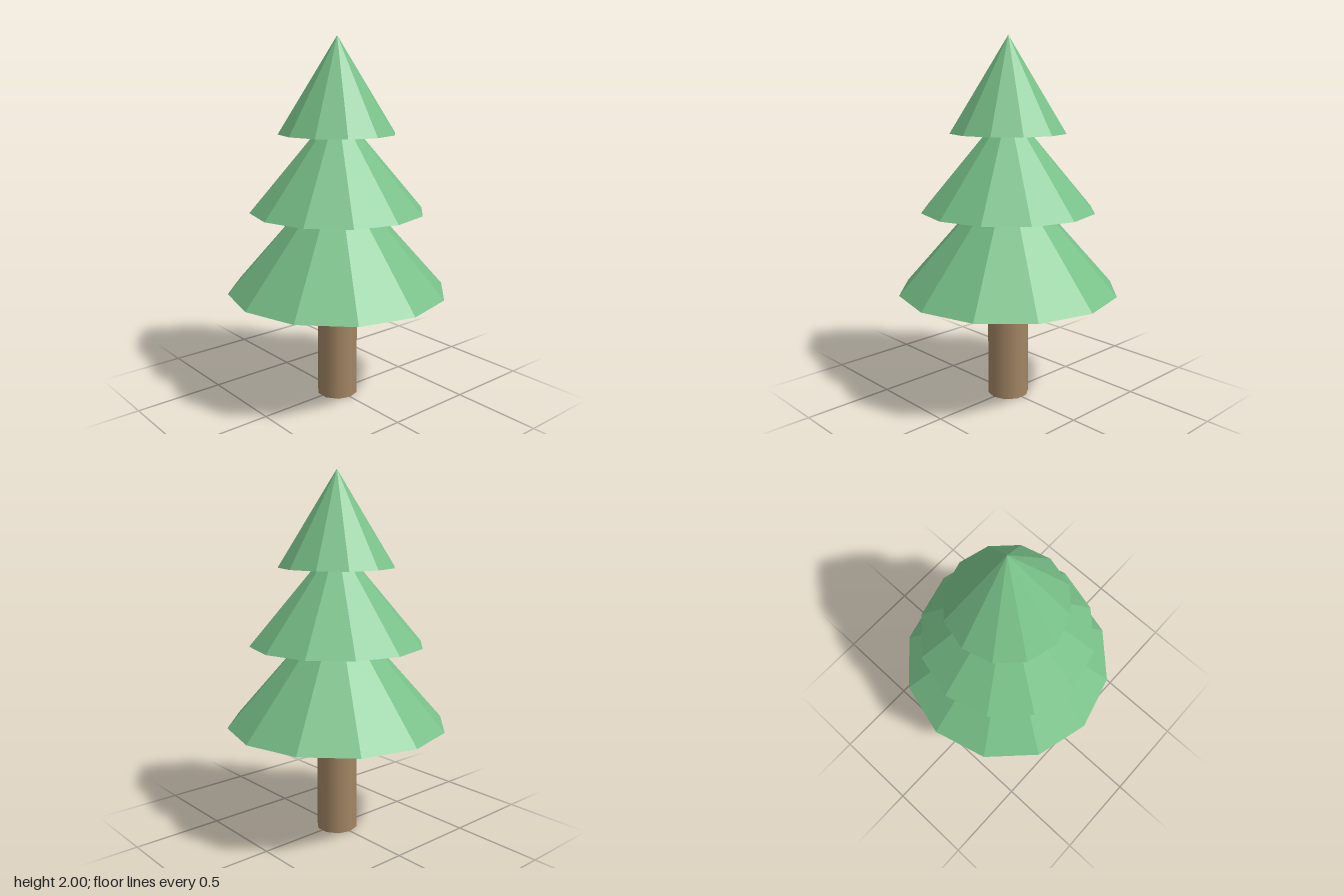
import * as THREE from 'three';

export function createModel() {
  const tree = new THREE.Group();
  tree.name = 'tree';

  const leafGreen = new THREE.MeshStandardMaterial({ color: 0x78c088, flatShading: true });
  leafGreen.name = 'leaf green';
  const barkBrown = new THREE.MeshStandardMaterial({ color: 0xa38664 });
  barkBrown.name = 'bark brown';

  // Trunk: smooth ten-sided cylinder with corners on the x axis
  const trunkHeight = 0.64;
  const trunk = new THREE.Mesh(
    new THREE.CylinderGeometry(0.115, 0.115, trunkHeight, 10, 1, false, Math.PI / 2),
    barkBrown
  );
  trunk.name = 'trunk';
  trunk.position.y = trunkHeight / 2;
  tree.add(trunk);

  // Foliage: three overlapping twelve-sided cones, [name, radius, base, tip]
  const tiers = [
    ['lowerFoliage', 0.61, 0.62, 1.31],
    ['middleFoliage', 0.48, 1.07, 1.635],
    ['upperFoliage', 0.32, 1.49, 2.0],
  ];
  for (const [name, radius, base, tip] of tiers) {
    const cone = new THREE.Mesh(new THREE.ConeGeometry(radius, tip - base, 12), leafGreen);
    cone.name = name;
    cone.position.y = (base + tip) / 2;
    tree.add(cone);
  }

  return tree;
}
